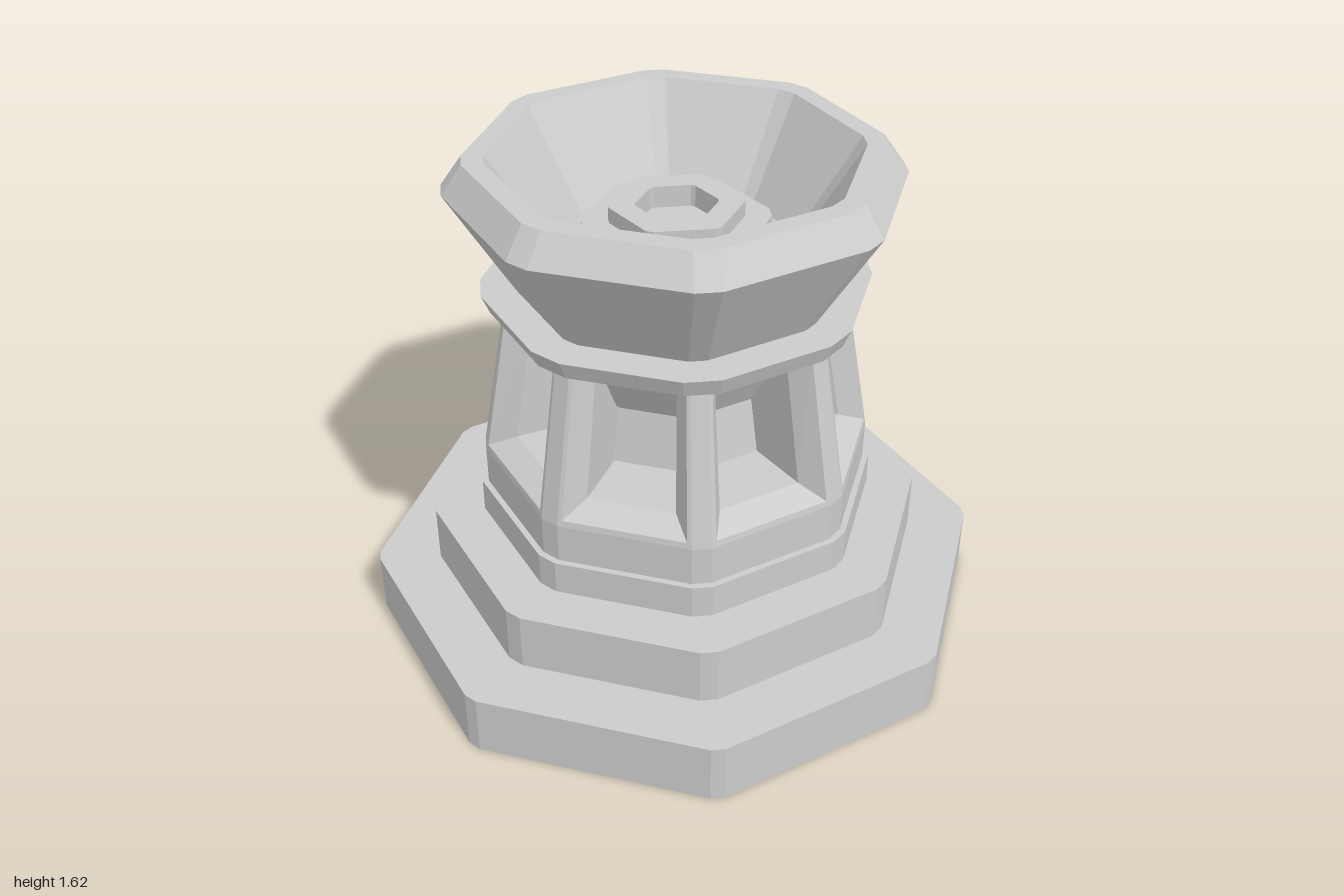
import * as THREE from 'three';

const material = new THREE.MeshStandardMaterial({ color: 0xcccccc, flatShading: true, side: THREE.DoubleSide });

// Mesh from a list of four-cornered faces, corners counter-clockwise from outside
function quadMesh(name, quads) {
  const pos = [];
  const tri = (a, b, c) => {
    const area = new THREE.Vector3().subVectors(b, a).cross(new THREE.Vector3().subVectors(c, a)).length();
    if (area > 1e-7) for (const p of [a, b, c]) pos.push(p.x, p.y, p.z);
  };
  for (const [a, b, c, d] of quads) {
    tri(a, b, c);
    tri(a, c, d);
  }
  const geometry = new THREE.BufferGeometry();
  geometry.setAttribute('position', new THREE.Float32BufferAttribute(pos, 3));
  geometry.computeVertexNormals();
  const mesh = new THREE.Mesh(geometry, material);
  mesh.name = name;
  return mesh;
}

// Polygon ring with every corner cut off by a half angle
function ring(sides, r, y, cut, turn = 0) {
  const points = [];
  for (let k = 0; k < sides; k++) {
    for (const s of [-1, 1]) {
      const a = turn + (k * 2 * Math.PI) / sides + s * cut;
      points.push(new THREE.Vector3(r * Math.sin(a), y, r * Math.cos(a)));
    }
  }
  return points;
}

// Skin through a profile of [radius, height] pairs
function loft(name, profile, cut, sides = 8, turn = 0) {
  const rings = profile.map(([r, y]) => ring(sides, r, y, cut, turn));
  const quads = [];
  for (let i = 0; i < rings.length - 1; i++) {
    const lo = rings[i], hi = rings[i + 1];
    lo.forEach((p, j) => {
      const n = (j + 1) % lo.length;
      quads.push([p, lo[n], hi[n], hi[j]]);
    });
  }
  return quadMesh(name, quads);
}

// One side of the column: face strips around a deep, chamfered niche
function columnSide(index) {
  const angle = ((index + 0.5) * Math.PI) / 4;
  const cut = 0.05, y0 = 0.63, ySill = 0.65, yFloor = 0.69, yTop = 1.14;
  const sin = Math.sin(angle), cos = Math.cos(angle);
  const radius = (y) => THREE.MathUtils.mapLinear(y, y0, yTop, 0.62, 0.53);
  const face = (y) => radius(y) * Math.cos(Math.PI / 8 - cut);
  const half = (y) => radius(y) * Math.sin(Math.PI / 8 - cut);
  const point = (h, d, y) => new THREE.Vector3(sin * d + cos * h, y, cos * d - sin * h);
  // left and right points at the bottom, then right and left at the top
  const frame = (hLow, dLow, yLow, hTop, dTop) => [
    point(-hLow, dLow, yLow), point(hLow, dLow, yLow), point(hTop, dTop, yTop), point(-hTop, dTop, yTop),
  ];
  const edge = frame(half(ySill), face(ySill), ySill, half(yTop), face(yTop));
  const rim = frame(0.193, face(ySill), ySill, 0.167, face(yTop));
  const inner = frame(0.138, face(yFloor) - 0.07, yFloor, 0.12, face(yTop) - 0.07);
  const back = frame(0.118, 0.3, yFloor, 0.1, 0.22);
  const quads = [
    [point(-half(y0), face(y0), y0), point(half(y0), face(y0), y0), edge[1], edge[0]],
    [edge[0], rim[0], rim[3], edge[3]],
    [rim[1], edge[1], edge[2], rim[2]],
    back,
  ];
  for (const [o, i] of [[rim, inner], [inner, back]]) {
    quads.push([o[0], o[1], i[1], i[0]], [o[0], i[0], i[3], o[3]], [i[1], o[1], o[2], i[2]]);
  }
  return quadMesh('columnSide', quads);
}

// Narrow face that closes the cut corner between two column sides
function columnCorner(index) {
  const low = ring(8, 0.62, 0.63, 0.05), top = ring(8, 0.53, 1.14, 0.05);
  const j = index * 2;
  return quadMesh('columnCorner', [[low[j], low[j + 1], top[j + 1], top[j]]]);
}

export function createModel() {
  const model = new THREE.Group();
  model.name = 'pedestal';

  // Stepped hollow base
  model.add(loft('baseStep', [[1, 0], [1, 0.2], [0.8, 0.2]], 0.022));
  model.add(loft('middleStep', [[0.8, 0.2], [0.8, 0.39], [0.64, 0.39]], 0.035));
  model.add(loft('upperStep', [[0.64, 0.39], [0.64, 0.5], [0.62, 0.5], [0.62, 0.63]], 0.05));

  // Tapered column with eight niches
  const column = new THREE.Group();
  column.name = 'column';
  for (let i = 0; i < 8; i++) column.add(columnSide(i), columnCorner(i));
  model.add(column);

  // Collar around the neck
  model.add(loft('collar', [[0.4, 1.14], [0.575, 1.14], [0.6, 1.2], [0.44, 1.2]], 0.09));

  // Bowl, its lower cone showing inside the niches
  model.add(loft('bowl', [
    [0, 0.88], [0.3, 0.88], [0.69, 1.53], [0.625, 1.62], [0.56, 1.62], [0.365, 1.31], [0, 1.31],
  ], 0.055));

  // Stepped six-sided socket on the bowl floor
  const turn = Math.PI / 6;
  model.add(loft('socketBase', [[0.285, 1.31], [0.285, 1.4], [0.2, 1.4]], 0.09, 6, turn));
  model.add(loft('socket', [[0.205, 1.4], [0.205, 1.45], [0.125, 1.45], [0.125, 1.38], [0, 1.38]], 0.06, 6, turn));
  return model;
}
